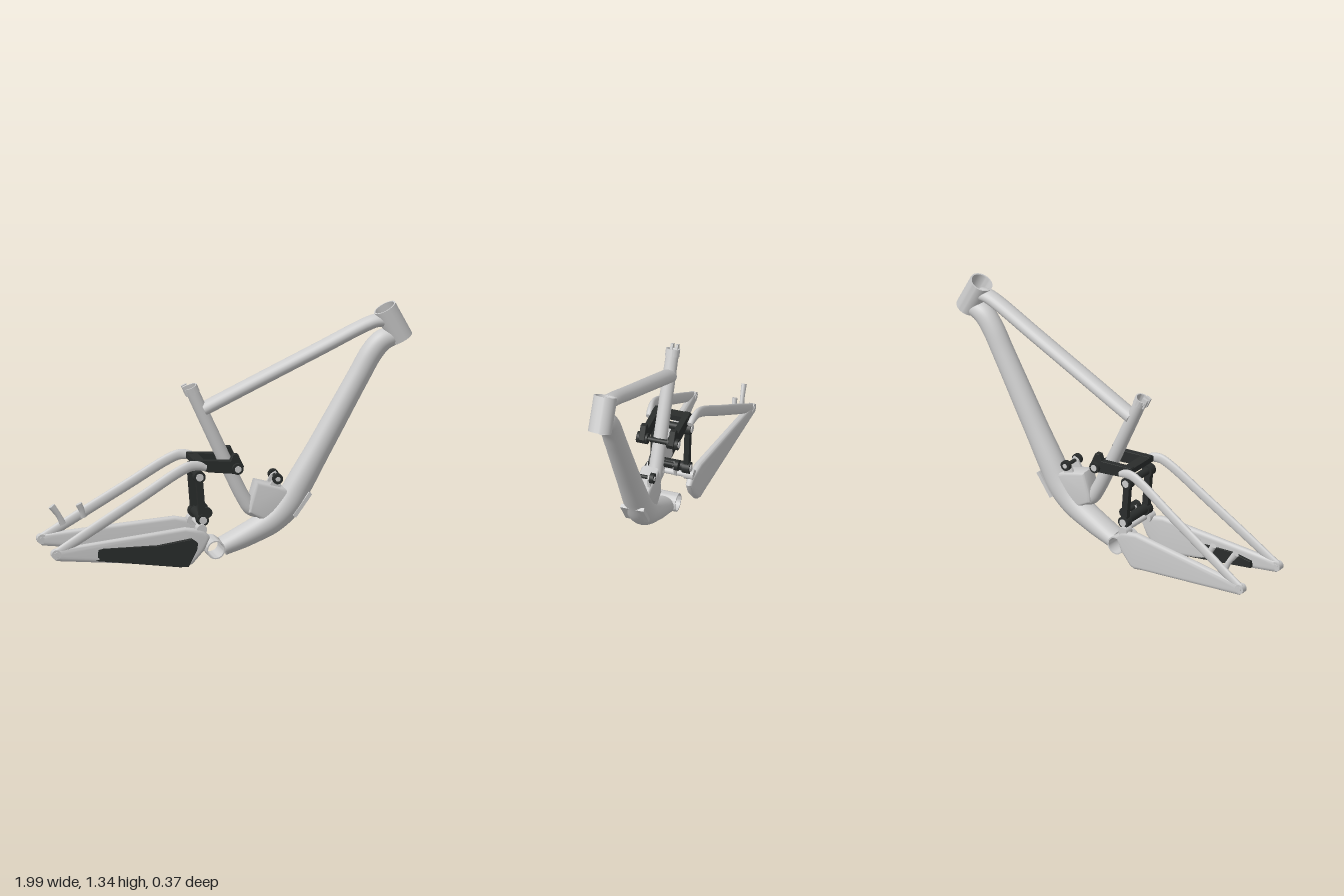
import * as THREE from 'three';
import { toCreasedNormals } from 'three/addons/utils/BufferGeometryUtils.js';

const grey = new THREE.MeshStandardMaterial({ color: 0xcccccc, side: THREE.DoubleSide });
const dark = new THREE.MeshStandardMaterial({ color: 0x2a2d2c });

// Elliptical tube along points [x, y, z, radius in the xy plane, radius in z]
function sweep(points, { steps = 40, sides = 24, capEnd = true } = {}) {
  const path = new THREE.CatmullRomCurve3(points.map(p => new THREE.Vector3(p[0], p[1], p[2])));
  const radii = new THREE.CatmullRomCurve3(
    points.map(p => new THREE.Vector3(p[3], p[4] ?? p[3], 0)), false, 'catmullrom', 0.3);
  const pos = [], index = [];
  const ring = t => {
    const c = path.getPoint(t), d = path.getTangent(t), r = radii.getPoint(t);
    const n = new THREE.Vector3(-d.y, d.x, 0).normalize();
    for (let j = 0; j < sides; j++) {
      const a = j / sides * Math.PI * 2, u = Math.cos(a) * r.x;
      pos.push(c.x + n.x * u, c.y + n.y * u, c.z + Math.sin(a) * r.y);
    }
    return c;
  };
  for (let i = 0; i <= steps; i++) ring(i / steps);
  for (let i = 0; i < steps; i++) for (let j = 0; j < sides; j++) {
    const a = i * sides + j, b = i * sides + (j + 1) % sides;
    index.push(a, b, a + sides, b, b + sides, a + sides);
  }
  for (const t of capEnd ? [0, 1] : [0]) {
    const base = pos.length / 3, c = ring(t), mid = base + sides;
    pos.push(c.x, c.y, c.z);
    for (let j = 0; j < sides; j++) {
      const a = base + j, b = base + (j + 1) % sides;
      index.push(mid, t ? a : b, t ? b : a);
    }
  }
  const g = new THREE.BufferGeometry();
  g.setAttribute('position', new THREE.Float32BufferAttribute(pos, 3));
  g.setIndex(index);
  g.computeVertexNormals();
  return g;
}

// Bevelled plate in the xy plane, centred on z
function plate(outline, thickness, bevel) {
  const shape = new THREE.Shape(outline.map(p => new THREE.Vector2(p[0], p[1])));
  const depth = thickness - 2 * bevel;
  const g = new THREE.ExtrudeGeometry(shape, {
    depth, bevelEnabled: bevel > 0, bevelThickness: bevel, bevelSize: bevel,
    bevelOffset: -bevel, bevelSegments: 4,
  });
  return g.translate(0, 0, -depth / 2);
}

// Hollow open cylinder around y
function pipe(outer, inner, length) {
  const h = length / 2;
  const profile = [[inner, -h], [outer, -h], [outer, h], [inner, h], [inner, -h]];
  return toCreasedNormals(
    new THREE.LatheGeometry(profile.map(p => new THREE.Vector2(p[0], p[1])), 40), 0.6);
}

// Cylinder along z
const pin = (r, length) => new THREE.CylinderGeometry(r, r, length, 24).rotateX(Math.PI / 2);

export function createModel() {
  const model = new THREE.Group();
  const add = (name, geometry, material = grey, x = 0, y = 0, z = 0, rz = 0) => {
    const m = new THREE.Mesh(geometry, material);
    m.name = name;
    m.position.set(x, y, z);
    m.rotation.z = rz;
    model.add(m);
    return m;
  };

  // Main frame tubes
  add('headTube', pipe(0.063, 0.055, 0.195), grey, 0.89, 1.227, 0, 0.487);
  add('topTube', sweep([
    [-0.14, 0.82, 0, 0.037, 0.045], [0.2, 0.977, 0, 0.037, 0.045], [0.5, 1.115, 0, 0.037, 0.045],
    [0.74, 1.226, 0, 0.037, 0.045], [0.8, 1.245, 0, 0.036, 0.045], [0.85, 1.245, 0, 0.034, 0.045]]));
  add('downTube', sweep([
    [0.9, 1.16, 0, 0.05, 0.05], [0.83, 1.135, 0, 0.058, 0.056], [0.775, 1.075, 0, 0.06, 0.057],
    [0.7, 0.945, 0, 0.06, 0.058], [0.5, 0.59, 0, 0.066, 0.063], [0.385, 0.39, 0, 0.073, 0.068],
    [0.32, 0.28, 0, 0.077, 0.07], [0.24, 0.2, 0, 0.072, 0.069], [0.1, 0.125, 0, 0.062, 0.068],
    [-0.035, 0.068, 0, 0.05, 0.066]], { steps: 72, sides: 32 }));
  add('seatTube', sweep([
    [0.17, 0.245, 0, 0.036], [0.12, 0.265, 0, 0.038], [0.08, 0.325, 0, 0.038], [0, 0.49, 0, 0.037],
    [-0.1, 0.71, 0, 0.036], [-0.208, 0.945, 0, 0.034]], { capEnd: false }));
  add('bottomBracketShell', pipe(0.05, 0.043, 0.145).rotateX(Math.PI / 2), grey, -0.085, 0.068);
  add('downTubeGuard', new THREE.BoxGeometry(0.15, 0.02, 0.13), grey, 0.385, 0.282, 0, 0.95);

  // Seat clamp with two ears behind the slot
  add('seatClamp', pipe(0.038, 0.031, 0.04), grey, -0.201, 0.93, 0, 0.43);
  for (const s of [-1, 1])
    add('clampEar', new THREE.BoxGeometry(0.03, 0.06, 0.014), grey, -0.229, 0.93, s * 0.014, 0.43);
  add('clampBolt', pin(0.008, 0.055), grey, -0.232, 0.93);

  // Gusset carrying the front shock mount
  add('shockGusset', toCreasedNormals(plate([
    [0.14, 0.42], [0.265, 0.385], [0.32, 0.36], [0.34, 0.26], [0.2, 0.19], [0.1, 0.25], [0.105, 0.3]],
    0.1, 0.018), 0.6));

  // Suspension linkage and rear triangle, mirrored in z
  for (const s of [-1, 1]) {
    add('frontShockTab', plate([[0.2, 0.37], [0.235, 0.435], [0.262, 0.45], [0.275, 0.43], [0.27, 0.35]],
      0.014, 0), grey, 0, 0, s * 0.035);
    add('frontShockBolt', pin(0.028, 0.022), dark, 0.253, 0.43, s * 0.05);
    add('frontShockBoltCap', pin(0.013, 0.006), grey, 0.253, 0.43, s * 0.061);

    add('rocker', plate([
      [-0.205, 0.57], [-0.013, 0.555], [0.002, 0.59], [0.028, 0.59], [0.06, 0.52], [0.05, 0.495],
      [0.02, 0.482], [-0.13, 0.5], [-0.19, 0.52]], 0.032, 0.003), dark, 0, 0, s * 0.082);
    add('rockerPivot', pin(0.03, 0.06), dark, 0.024, 0.512, s * 0.085);
    add('rockerPivotCap', pin(0.018, 0.006), grey, 0.024, 0.512, s * 0.115);

    add('link', new THREE.BoxGeometry(0.036, 0.235, 0.028), dark, -0.174, 0.362, s * 0.093, 0.08);
    for (const [x, y] of [[-0.183, 0.48], [-0.165, 0.245]]) {
      add('linkPivot', pin(0.032, 0.04), dark, x, y, s * 0.093);
      add('linkPivotCap', pin(0.02, 0.006), grey, x, y, s * 0.115);
    }
    add('rearShockBolt', pin(0.028, 0.022), dark, -0.13, 0.27, s * 0.05);
    add('rearShockTab', new THREE.BoxGeometry(0.024, 0.09, 0.014), grey, -0.145, 0.235, s * 0.035, -0.35);

    add('seatStay', sweep([
      [-0.975, 0.125, s * 0.165, 0.026, 0.014], [-0.75, 0.258, s * 0.155, 0.029, 0.015],
      [-0.5, 0.405, s * 0.143, 0.029, 0.016], [-0.3, 0.523, s * 0.131, 0.029, 0.016],
      [-0.235, 0.548, s * 0.126, 0.028, 0.016], [-0.19, 0.545, s * 0.12, 0.025, 0.018],
      [-0.15, 0.53, s * 0.115, 0.016, 0.016]]));

    // Deep chainstay, sheared outwards towards the rear
    const stay = plate([
      [-0.985, 0.15], [-0.9, 0.16], [-0.265, 0.216], [-0.16, 0.195], [-0.128, 0.155],
      [-0.16, 0.085], [-0.225, 0.015], [-0.255, 0.005], [-0.3, 0.014], [-0.97, 0.088], [-1, 0.115]],
      0.046, 0.019);
    const p = stay.attributes.position;
    for (let i = 0; i < p.count; i++)
      p.setZ(i, p.getZ(i) * (0.72 - 0.28 * p.getX(i) * (p.getX(i) + 1) * 4)
        + s * (0.104 - 0.061 * p.getX(i)));
    add('chainstay', toCreasedNormals(stay, 0.7));

    add('dropout', pin(0.026, 0.034), grey, -0.974, 0.125, s * 0.163);
    add('axleCap', pin(0.013, 0.04), grey, -0.974, 0.125, s * 0.163);
    add('chainstayPivotLug', pin(0.028, 0.05), grey, -0.175, 0.198, s * 0.105);
  }

  // Bridges joining the two sides
  add('rockerBridge', new THREE.BoxGeometry(0.055, 0.03, 0.2), dark, -0.18, 0.55);
  add('rockerAxle', pin(0.014, 0.2), dark, 0.024, 0.512);
  add('upperLinkAxle', pin(0.02, 0.18), dark, -0.183, 0.48);
  add('lowerLinkBridge', pin(0.026, 0.18), dark, -0.165, 0.25);
  add('rearShockPin', pin(0.012, 0.11), dark, -0.13, 0.27);
  add('frontShockPin', pin(0.01, 0.1), dark, 0.253, 0.43);
  add('chainstayYoke', pin(0.016, 0.2), grey, -0.165, 0.2);

  // Chainstay protector on one side
  add('chainGuard', plate([
    [-0.83, 0.085], [-0.825, 0.12], [-0.72, 0.14], [-0.42, 0.136], [-0.235, 0.16], [-0.205, 0.137],
    [-0.21, 0.1], [-0.255, 0.012], [-0.3, 0.012]], 0.052, 0.002), dark, 0, 0, 0.142);

  // Brake mount posts on the other side
  add('rearBrakeMount', sweep([
    [-0.86, 0.2, -0.15, 0.018, 0.012], [-0.885, 0.25, -0.145, 0.015, 0.012],
    [-0.925, 0.305, -0.14, 0.019, 0.014]], { steps: 10, sides: 16 }));
  add('frontBrakeMount', sweep([
    [-0.75, 0.23, -0.15, 0.018, 0.012], [-0.76, 0.27, -0.145, 0.016, 0.012],
    [-0.778, 0.308, -0.14, 0.018, 0.014]], { steps: 10, sides: 16 }));

  return model;
}
